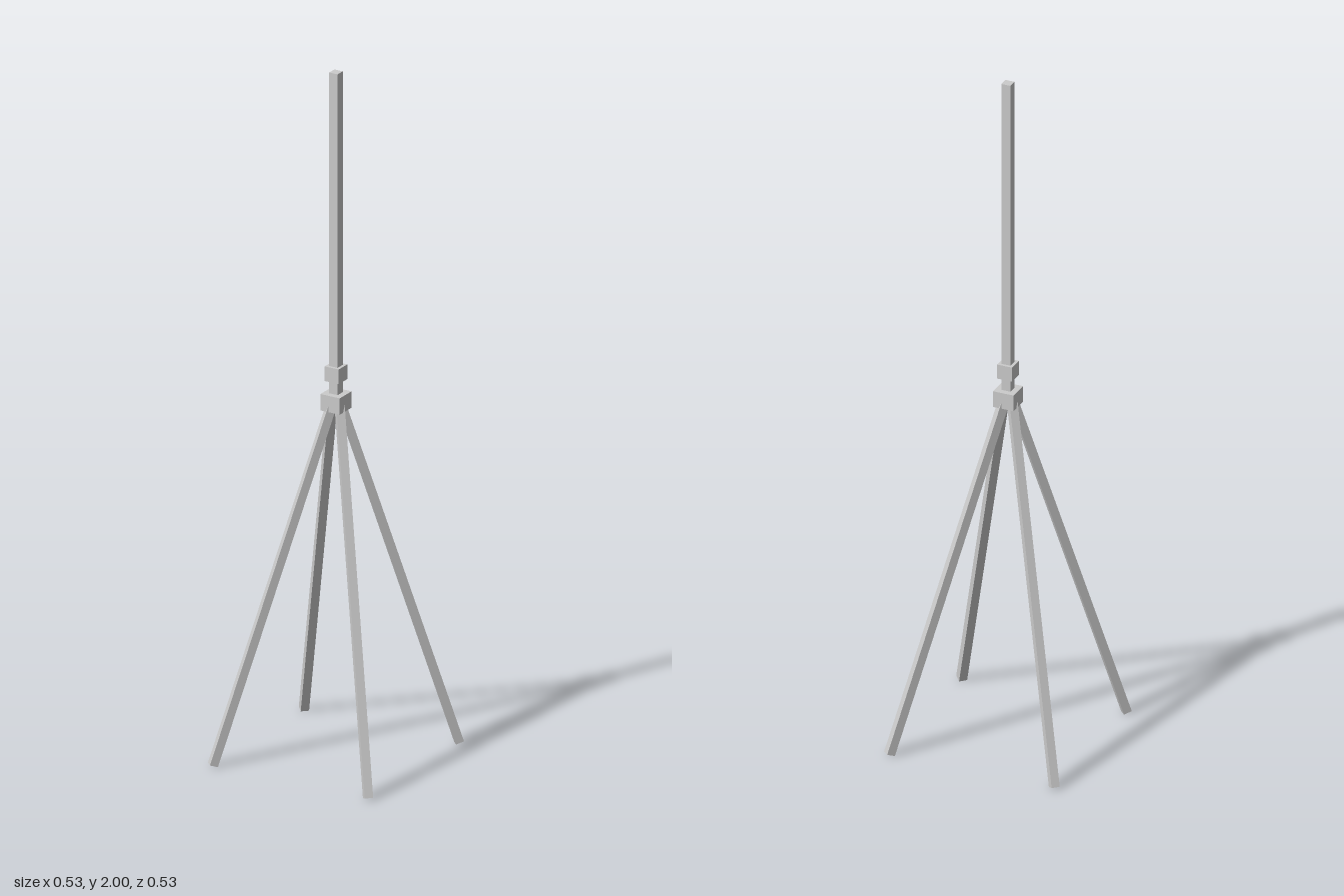
import * as THREE from 'three';

const material = new THREE.MeshStandardMaterial({ color: 0xcccccc, flatShading: true });

// Square block spanning y0..y1
function block(name, width, y0, y1) {
  const mesh = new THREE.Mesh(new THREE.BoxGeometry(width, y1 - y0, width), material);
  mesh.name = name;
  mesh.position.y = (y0 + y1) / 2;
  return mesh;
}

export function createModel() {
  const model = new THREE.Group();
  model.name = 'fourLeggedStand';

  // Upright pole with its collar and the hub that holds the legs
  model.add(
    block('pole', 0.027, 1.03, 2),
    block('collar', 0.045, 1.097, 1.14),
    block('hub', 0.062, 1.012, 1.06)
  );

  // Four splayed square legs, each set slightly to one side of the centre line
  const tilt = THREE.MathUtils.degToRad(18);
  const length = 1.08, thickness = 0.0235;
  const footRadius = 0.347, footHeight = (thickness / 2) * Math.sin(tilt);
  const legGeometry = new THREE.BoxGeometry(thickness, length, thickness);
  legGeometry.translate(0, length / 2, 0);

  for (let i = 0; i < 4; i++) {
    const leg = new THREE.Mesh(legGeometry, material);
    leg.name = 'leg';
    leg.position.set(footRadius, footHeight, -0.0067);
    leg.rotation.z = tilt;
    const pivot = new THREE.Group();
    pivot.name = 'legPivot';
    pivot.rotation.y = Math.PI / 4 + (i * Math.PI) / 2;
    pivot.add(leg);
    model.add(pivot);
  }
  return model;
}
